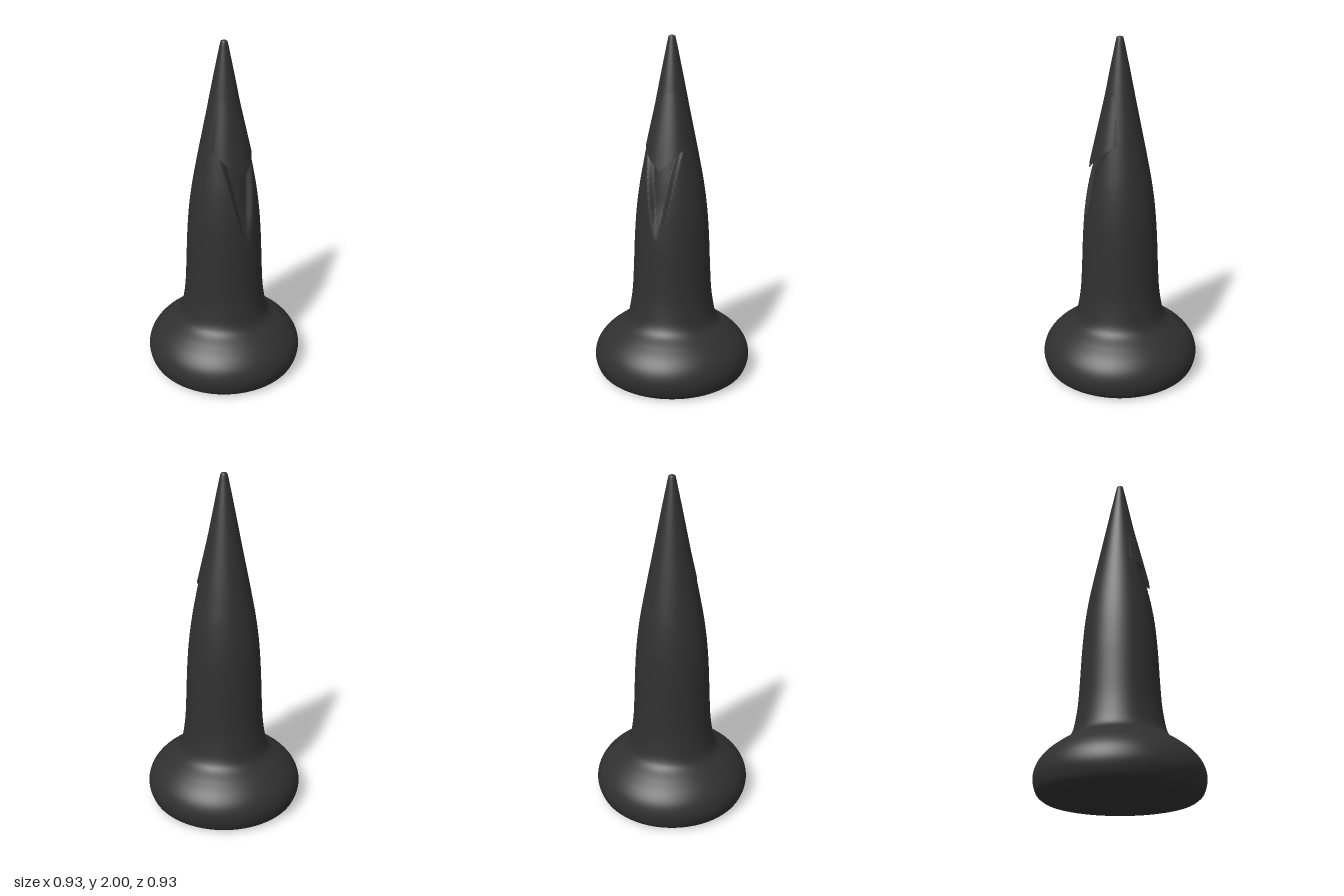
import * as THREE from 'three';
import { mergeVertices } from 'three/addons/utils/BufferGeometryUtils.js';

const charcoal = new THREE.MeshStandardMaterial({ color: 0x303030 });
charcoal.name = 'charcoal';
charcoal.side = THREE.DoubleSide;

// Outline of the flared base and tapering shaft: radius, height
const outline = [
  [0.415, 0], [0.448, 0.03], [0.467, 0.1], [0.452, 0.17], [0.41, 0.23], [0.35, 0.28],
  [0.29, 0.322], [0.264, 0.36], [0.249, 0.42], [0.235, 0.52], [0.227, 0.65], [0.218, 0.85],
  [0.205, 1.02], [0.185, 1.17], [0.161, 1.3], [0.137, 1.42], [0.1, 1.6], [0.06, 1.8],
  [0.035, 1.92], [0.021, 1.985], [0.015, 1.998], [0, 2],
].map(([r, y]) => new THREE.Vector2(r, y));

const smooth = THREE.MathUtils.smoothstep;

// Shaft radius at a given height
function radiusAt(y) {
  let i = 1;
  while (i < outline.length - 1 && outline[i].y < y) i++;
  const a = outline[i - 1], b = outline[i];
  return a.x + (b.x - a.x) * (y - a.y) / (b.y - a.y);
}

function rebuildNormals(geometry) {
  geometry.deleteAttribute('uv');
  geometry.deleteAttribute('normal');
  const merged = mergeVertices(geometry, 1e-5);
  merged.computeVertexNormals();
  return merged;
}

// Turned body with a V-shaped hollow pressed into the front
function bodyGeometry() {
  const points = new THREE.SplineCurve(outline).getSpacedPoints(220);
  points[points.length - 1].set(0, 2);
  const geometry = new THREE.LatheGeometry(points, 128, Math.PI);
  const p = geometry.attributes.position;
  for (let i = 0; i < p.count; i++) {
    const x = p.getX(i), y = p.getY(i), z = p.getZ(i);
    if (z <= 0 || y < 0.83 || y > 1.42) continue;
    const halfWidth = 0.11 * Math.pow((y - 0.83) / 0.55, 0.75);
    const inside = smooth(halfWidth - Math.abs(x), 0, 0.022);
    const depth = 0.032 * inside * smooth(y, 0.83, 1.1) * (1 - smooth(y, 1.36, 1.42));
    const r = Math.hypot(x, z), k = (r - depth) / r;
    p.setXYZ(i, x * k, y, z * k);
  }
  return rebuildNormals(geometry);
}

// Pointed hood over the hollow: a thin shell whose lower edge is a V
function hoodGeometry() {
  const geometry = new THREE.PlaneGeometry(1, 1, 48, 30);
  const p = geometry.attributes.position;
  for (let i = 0; i < p.count; i++) {
    const side = p.getX(i) * 2;
    const down = 0.5 - p.getY(i);
    const angle = side * 1.22;
    const edge = 1.27 + 0.145 * Math.pow(Math.abs(Math.sin(angle)) / 0.94, 1.1);
    const y = THREE.MathUtils.lerp(1.78, edge, down);
    const lift = 0.012 * down * (1 - Math.pow(Math.abs(side), 4)) - 0.003 * (1 - down);
    const r = radiusAt(y) + lift;
    p.setXYZ(i, r * Math.sin(angle), y, r * Math.cos(angle));
  }
  return rebuildNormals(geometry);
}

export function createModel() {
  const model = new THREE.Group();
  model.name = 'spire';
  const add = (name, geometry) => {
    const mesh = new THREE.Mesh(geometry, charcoal);
    mesh.name = name;
    model.add(mesh);
  };
  add('body', bodyGeometry());
  add('hood', hoodGeometry());
  // Flat underside
  add('underside', new THREE.CircleGeometry(0.415, 128).rotateX(Math.PI / 2));
  return model;
}
